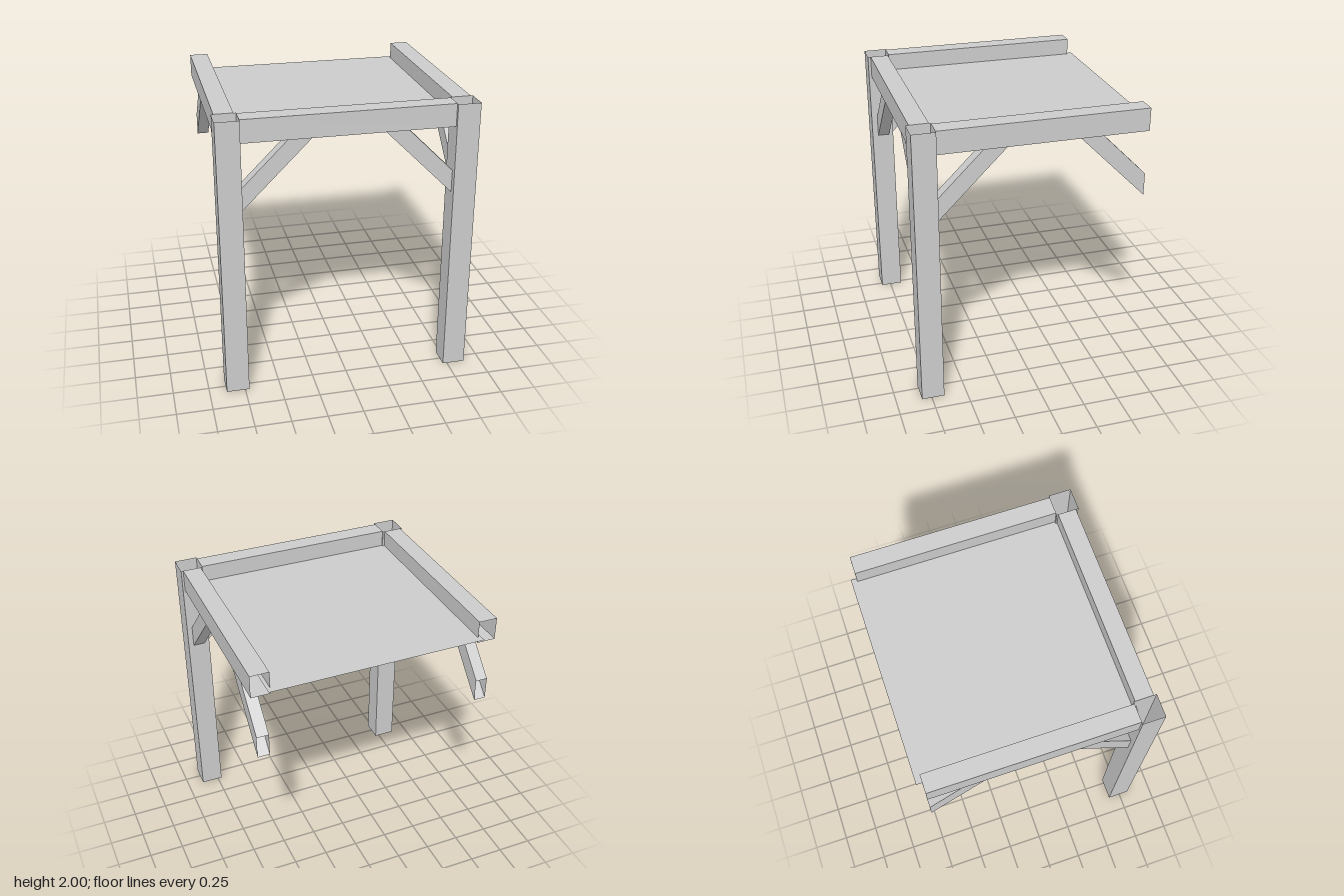
import * as THREE from 'three';

const V = (x, y, z) => new THREE.Vector3(x, y, z);
const material = new THREE.MeshStandardMaterial({
  color: 0xcccccc, flatShading: true, side: THREE.DoubleSide,
});

// Open-ended four-sided tube from a to b; u and v are half-widths of the section.
function hollowTimber(name, a, b, v, uA, uB = uA) {
  const along = b.clone().sub(a);
  const side = v.clone();
  if (uA.clone().cross(side).dot(along) < 0) side.negate();
  const signs = [[1, 1], [-1, 1], [-1, -1], [1, -1]];
  const ring = (c, u) => signs.map(([s, t]) =>
    c.clone().addScaledVector(u, s).addScaledVector(side, t));
  const ra = ring(a, uA), rb = ring(b, uB);
  const points = [];
  for (let i = 0; i < 4; i++) {
    const j = (i + 1) % 4;
    points.push(ra[i], ra[j], rb[j], ra[i], rb[j], rb[i]);
  }
  const geometry = new THREE.BufferGeometry().setFromPoints(points);
  geometry.computeVertexNormals();
  const mesh = new THREE.Mesh(geometry, material);
  mesh.name = name;
  return mesh;
}

export function createModel() {
  const model = new THREE.Group();
  model.name = 'lean-to pergola';

  const top = 2, beamY = 1.92, half = 0.08;
  const braceLow = 1.44, braceHigh = 1.84, reach = 0.4, braceHalf = 0.042;
  const postX = 0.8, postZ = 0.74, frontZ = 0.735;
  const up = V(0, half, 0);

  // Front beam between the posts
  model.add(hollowTimber('frontBeam', V(-0.72, beamY, frontZ), V(0.72, beamY, frontZ),
    V(0, 0, 0.065), up));

  for (const s of [1, -1]) {
    const label = s > 0 ? 'left' : 'right';
    const x = s * postX;

    // Post
    model.add(hollowTimber(label + 'Post', V(x, 0, postZ), V(x, top, postZ),
      V(half, 0, 0), V(0, 0, half)));

    // Side beam running back from the post
    model.add(hollowTimber(label + 'Beam', V(x, beamY, 0.66), V(x, beamY, -0.78),
      V(0.065, 0, 0), up));

    // Brace from post to front beam, ends cut vertical and horizontal
    model.add(hollowTimber(label + 'FrontBrace',
      V(s * 0.72, braceLow, frontZ), V(s * (0.72 - reach), braceHigh, frontZ),
      V(0, 0, braceHalf), up, V(s * half, 0, 0)));

    // Braces under the side beam, at the post and at the wall end
    for (const [end, z, d] of [['Side', 0.66, 1], ['Wall', -0.78, -1]]) {
      model.add(hollowTimber(label + end + 'Brace',
        V(x, braceLow, z), V(x, braceHigh, z - d * reach),
        V(braceHalf, 0, 0), up, V(0, 0, d * half)));
    }
  }

  // Thin roof sheet let into the beams
  const roof = new THREE.Mesh(new THREE.PlaneGeometry(1.52, 1.515).rotateX(-Math.PI / 2), material);
  roof.name = 'roofSheet';
  roof.position.set(0, 1.88, -0.0625);
  model.add(roof);

  return model;
}
